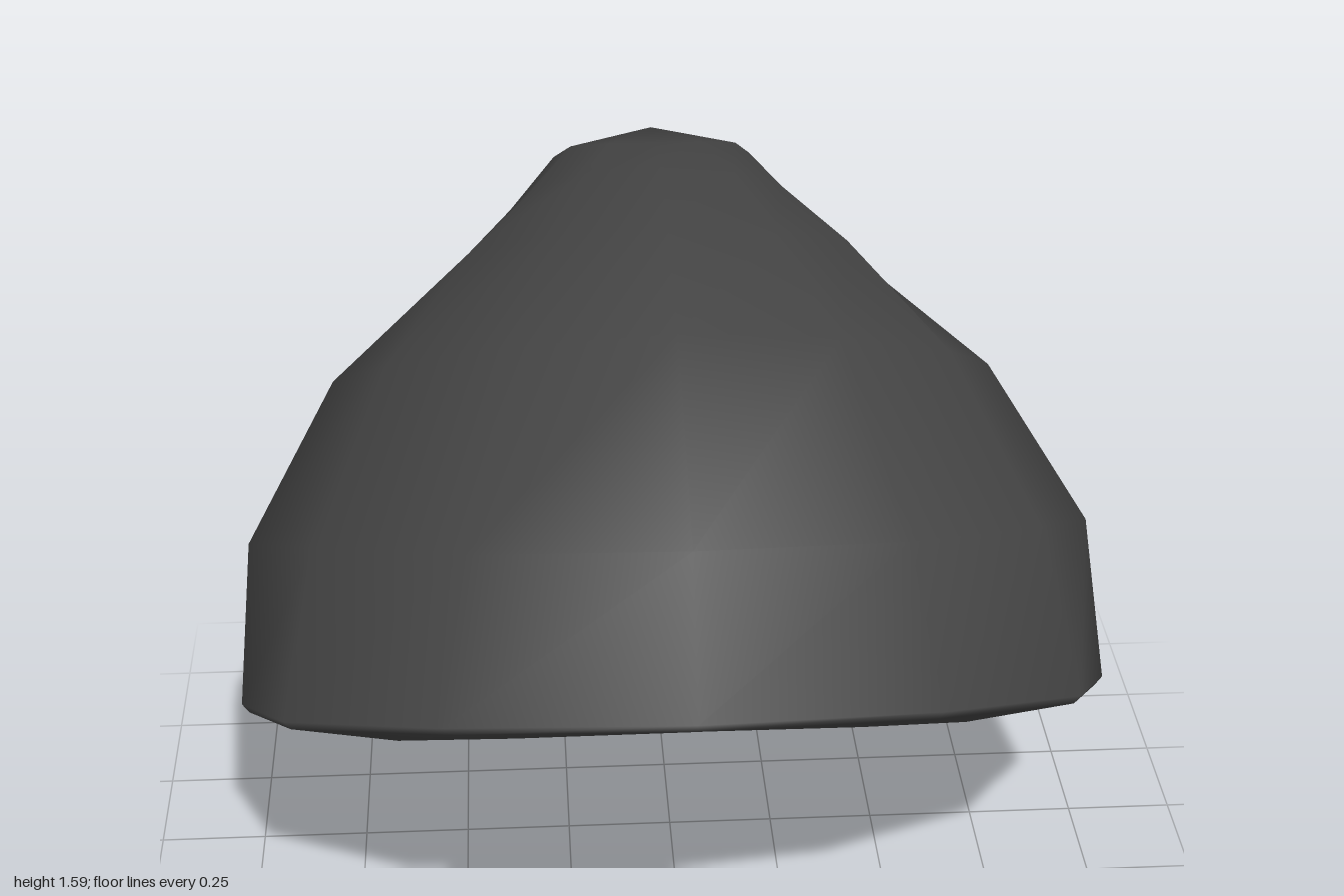
import * as THREE from 'three';
import { mergeVertices } from 'three/addons/utils/BufferGeometryUtils.js';

// Half cross-sections [x, y, z], running from front centre round the left side to back centre
const opening = [[0, .82, .8], [.37, .77, .73], [.63, .63, .52], [.745, .47, .23],
  [.7, .3, -.07], [.55, .17, -.3], [.32, .1, -.49], [0, .05, -.62]];
const rim = [[0, .965, .99], [.52, .89, .86], [.87, .73, .58], [1, .54, .22],
  [.92, .34, -.12], [.715, .16, -.45], [.42, .065, -.71], [0, .02, -.84]];
const belly = [[0, 1.26, .8], [.46, 1.19, .67], [.8, 1.04, .37], [.975, .85, .02],
  [.94, .65, -.34], [.74, .48, -.65], [.43, .38, -.85], [0, .35, -.94]];
const shoulder = [[0, 1.5, .3], [.36, 1.43, .2], [.64, 1.28, -.02], [.78, 1.1, -.3],
  [.73, .94, -.54], [.56, .81, -.74], [.31, .72, -.88], [0, .69, -.94]];
const neck = [[0, 1.58, -.1], [.25, 1.51, -.2], [.44, 1.4, -.37], [.51, 1.26, -.52],
  [.47, 1.13, -.67], [.36, 1.02, -.79], [.2, .94, -.88], [0, .92, -.9]];
const bulge = [[0, 1.59, -.42], [.18, 1.54, -.47], [.3, 1.465, -.55], [.35, 1.37, -.66],
  [.33, 1.28, -.79], [.25, 1.23, -.89], [.13, 1.16, -.94], [0, 1.14, -.945]];
const crown = [[0, 1.56, -.6], [.11, 1.55, -.63], [.2, 1.52, -.69], [.24, 1.46, -.77],
  [.23, 1.4, -.86], [.18, 1.36, -.93], [.12, 1.33, -.98], [0, 1.33, -.985]];
const tip = rim.map(() => [0, 1.52, -.8]);

// Mirror a half section into a closed ring
const ring = half => [...half, ...half.slice(1, -1).reverse().map(([x, y, z]) => [-x, y, z])];

// Skin a stack of sections with smooth normals
function loft(halves) {
  const rings = halves.map(ring), n = rings[0].length, index = [];
  for (let i = 0; i < rings.length - 1; i++) {
    for (let k = 0; k < n; k++) {
      const a = i * n + k, b = i * n + (k + 1) % n;
      index.push(a, b, b + n, a, b + n, a + n);
    }
  }
  const geo = new THREE.BufferGeometry();
  geo.setAttribute('position', new THREE.Float32BufferAttribute(rings.flat(2), 3));
  geo.setIndex(index);
  const merged = mergeVertices(geo, 1e-4);
  merged.computeVertexNormals();
  return merged;
}

export function createModel() {
  const group = new THREE.Group();
  group.name = 'knitCap';
  // Double-sided, so the inside of the hollow cap shows through the opening
  const wool = new THREE.MeshStandardMaterial({ color: 0x444444, side: THREE.DoubleSide });
  wool.name = 'charcoal wool';

  // Thin shell, with a bevelled lip turned under to the opening
  const lip = rim.map(([x, y, z]) => [x * .985, Math.max(0, y - .025), z * .985]);
  const shell = new THREE.Mesh(loft([opening, lip, rim, belly, shoulder, neck, bulge, crown, tip]), wool);
  shell.name = 'capShell';

  group.add(shell);
  return group;
}
